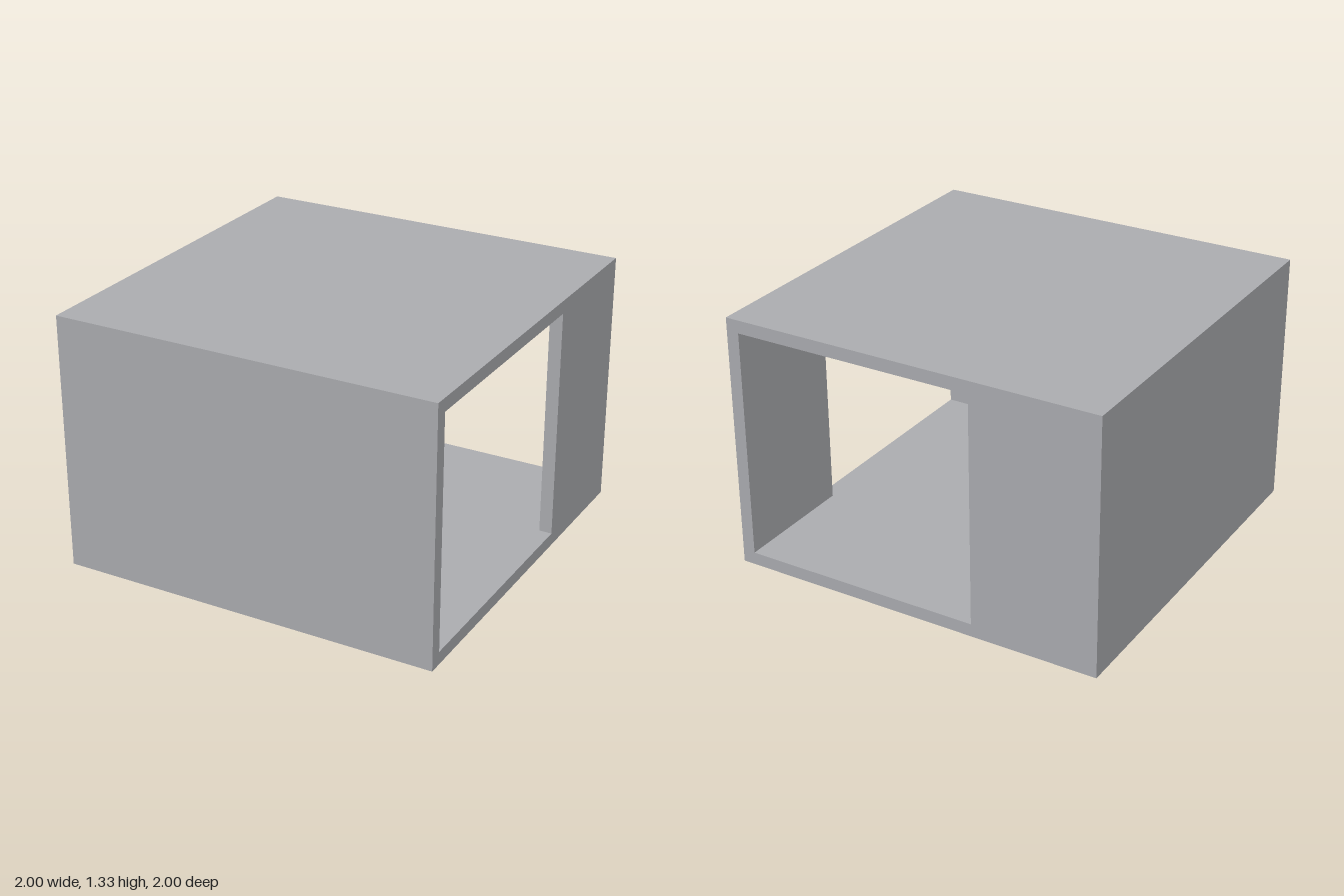
import * as THREE from 'three';

const H = 1.333;      // total height
const T = 0.067;      // panel thickness
const JAMB = -0.333;  // edge of both openings
const INNER = 1 - T;  // inner face of the walls

// Extrudes a plan outline of [x, z] points upwards between two heights
function extrudePlan(points, y0, y1) {
  const shape = new THREE.Shape(points.map(([x, z]) => new THREE.Vector2(x, -z)));
  const geometry = new THREE.ExtrudeGeometry(shape, { depth: y1 - y0, bevelEnabled: false });
  geometry.rotateX(-Math.PI / 2);
  geometry.translate(0, y0, 0);
  return geometry;
}

export function createModel() {
  const group = new THREE.Group();
  group.name = 'openBox';
  const grey = new THREE.MeshStandardMaterial({ name: 'grey', color: 0xaaabaf });

  const add = (name, points, y0, y1) => {
    const mesh = new THREE.Mesh(extrudePlan(points, y0, y1), grey);
    mesh.name = name;
    group.add(mesh);
  };

  // Floor and roof panels
  const square = [[-1, 1], [1, 1], [1, -1], [-1, -1]];
  add('floor', square, 0, T);
  add('roof', square, H - T, H);

  // Closed front and side walls, returning along part of the back
  add('walls', [
    [-1, 1], [1, 1], [1, INNER], [-INNER, INNER],
    [-INNER, -INNER], [JAMB, -INNER], [JAMB, -1], [-1, -1],
  ], T, H - T);

  // Short wall at the back corner, between the two openings
  add('cornerWall', [[INNER, JAMB], [1, JAMB], [1, -1], [INNER, -1]], T, H - T);

  return group;
}
